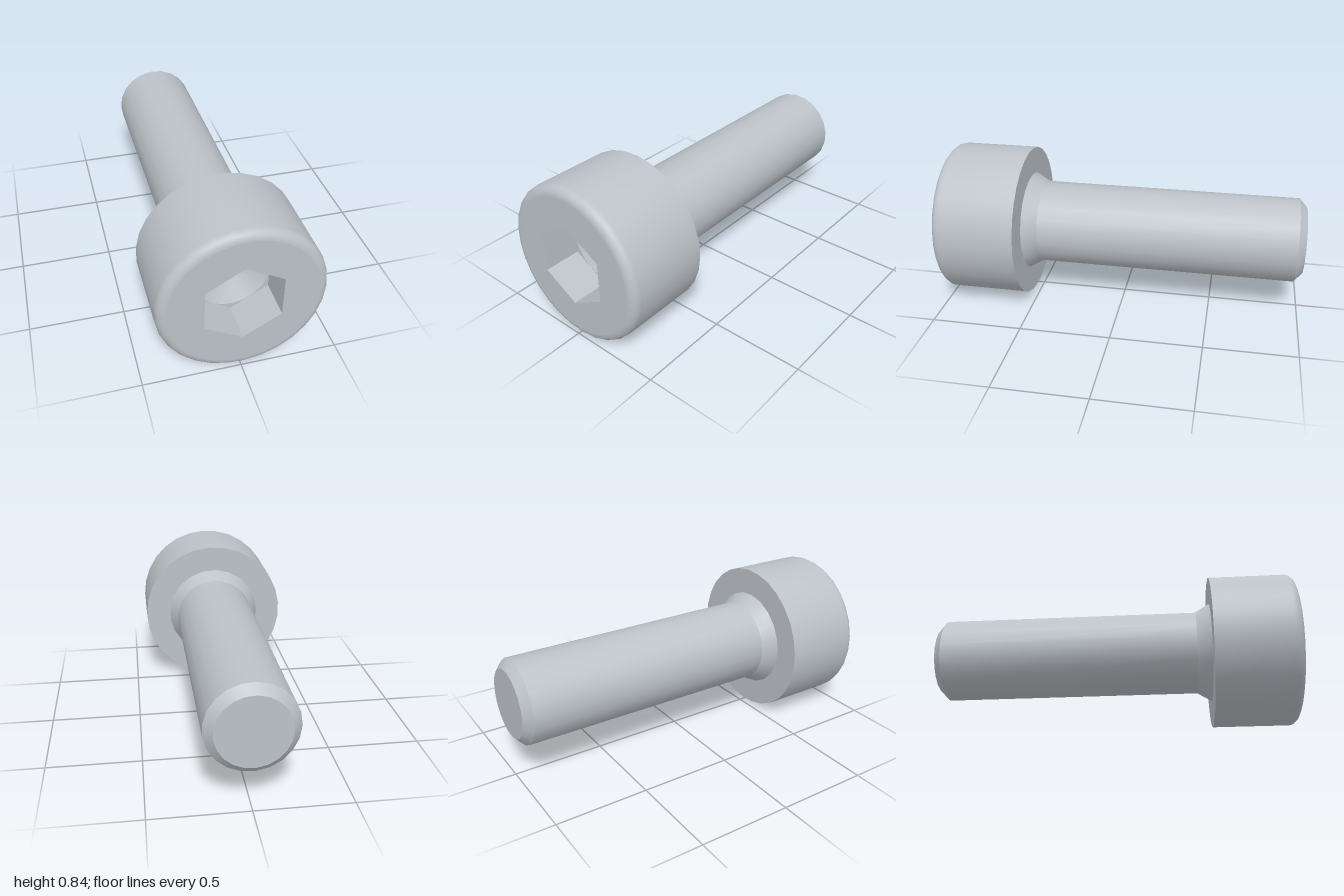
import * as THREE from 'three';
import { toCreasedNormals } from 'three/addons/utils/BufferGeometryUtils.js';

const AXIS_Y = 0.423;
const HEAD_R = 0.423, HEAD_SIDES = 29, FILLET = 0.046;
const SHANK_R = 0.231, SHANK_SIDES = 21;
const HEX_R = 0.222, CONE_R = 0.192, FLOOR_Z = 0.8;

// Turned surface around the z axis from [radius, z] pairs
function turned(profile, sides, start = Math.PI / 2) {
  const points = profile.map(([r, z]) => new THREE.Vector2(r, z));
  const geometry = new THREE.LatheGeometry(points, sides, start).rotateX(Math.PI / 2);
  return toCreasedNormals(geometry, 0.4);
}

function polygon(radius, sides, start = 0) {
  return Array.from({ length: sides }, (_, i) => {
    const a = start + (i / sides) * Math.PI * 2;
    return new THREE.Vector2(radius * Math.cos(a), radius * Math.sin(a));
  });
}

// Flat plate facing +z with a hole in it
function ring(outer, inner, z) {
  const shape = new THREE.Shape(outer);
  shape.holes.push(new THREE.Path(inner));
  return new THREE.ShapeGeometry(shape).translate(0, 0, z);
}

export function createModel() {
  const model = new THREE.Group();
  const steel = new THREE.MeshStandardMaterial({ color: 0xbcc2c8 });
  steel.name = 'steel';
  const add = (name, geometry) => {
    const mesh = new THREE.Mesh(geometry, steel);
    mesh.name = name;
    mesh.position.y = AXIS_Y;
    model.add(mesh);
  };

  // Shank with chamfered tip and flared neck
  add('shank', turned([
    [0, -1], [0.186, -1], [SHANK_R, -0.957], [SHANK_R, 0.46], [0.277, 0.538],
  ], SHANK_SIDES, -Math.PI / 2));

  // Head: underside, wall and rounded front rim
  const head = [[0.2, 0.538], [HEAD_R, 0.538]];
  for (let i = 0; i <= 6; i++) {
    const a = (i / 6) * Math.PI / 2;
    head.push([HEAD_R - FILLET + FILLET * Math.cos(a), 1 - FILLET + FILLET * Math.sin(a)]);
  }
  add('head', turned(head, HEAD_SIDES));

  // Front face and hexagonal socket
  const hex = polygon(HEX_R, 6, Math.PI / 2);
  add('headFace', ring(polygon(HEAD_R - FILLET, HEAD_SIDES), hex, 1));
  add('socketWalls', turned([[HEX_R, 1], [HEX_R, FLOOR_Z]], 6, 0));
  add('socketFloor', ring(hex, polygon(CONE_R, SHANK_SIDES), FLOOR_Z));
  add('socketCone', turned([[CONE_R, FLOOR_Z], [0, FLOOR_Z - 0.111]], SHANK_SIDES));

  return model;
}
